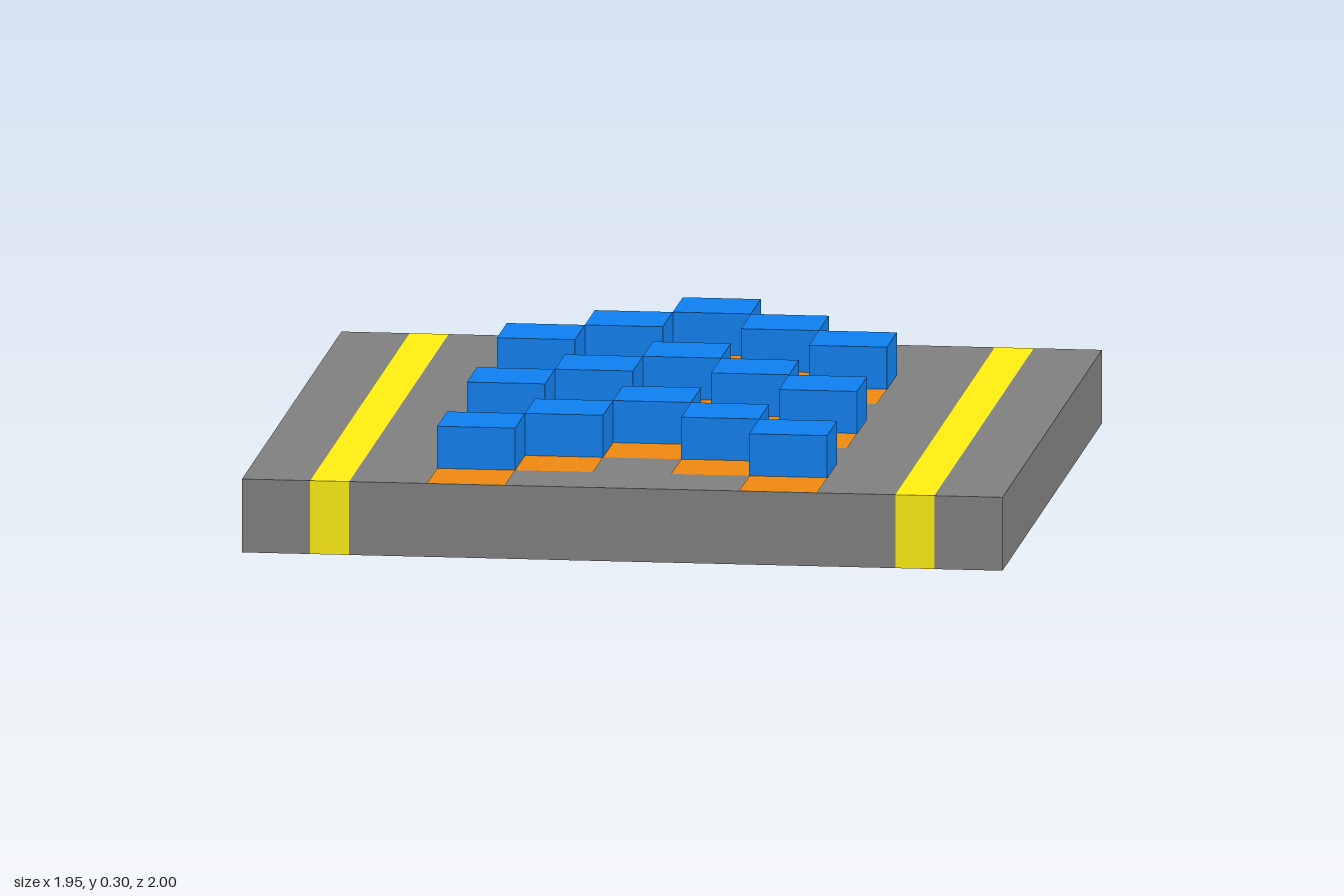
import * as THREE from 'three';

const SLAB_TOP = 0.19;
const CELL = 0.2;

const paint = (color) => new THREE.MeshStandardMaterial({ color, flatShading: true });
const grey = paint(0x808080);
const yellow = paint(0xffee10);
const blue = paint(0x0f80f0);
const orange = paint(0xee8810);

// Box spanning x0..x1, y0..y1, z0..z1
function block(name, material, [x0, x1], [y0, y1], [z0, z1]) {
  const mesh = new THREE.Mesh(new THREE.BoxGeometry(x1 - x0, y1 - y0, z1 - z0), material);
  mesh.position.set((x0 + x1) / 2, (y0 + y1) / 2, (z0 + z1) / 2);
  mesh.name = name;
  return mesh;
}

// Raised square block with a flush square marking just in front of it
function addStep(group, x, z) {
  const h = CELL / 2;
  group.add(block('raisedBlock', blue, [x - h, x + h], [SLAB_TOP, 0.3], [z - h, z + h]));
  const mark = new THREE.Mesh(new THREE.PlaneGeometry(CELL, CELL).rotateX(-Math.PI / 2), orange);
  mark.position.set(x, SLAB_TOP + 0.001, z + CELL);
  mark.name = 'floorMarking';
  group.add(mark);
}

export function createModel() {
  const model = new THREE.Group();
  model.name = 'boostPad';

  // Slab in lengthwise strips, the yellow stripes running right through it
  const height = [0, SLAB_TOP];
  const depth = [-1, 1];
  model.add(block('slabCentre', grey, [-0.7, 0.7], height, depth));
  for (const s of [-1, 1]) {
    const span = (a, b) => (s > 0 ? [a, b] : [-b, -a]);
    model.add(block('stripe', yellow, span(0.7, 0.8), height, depth));
    model.add(block('slabEdge', grey, span(0.8, 0.975), height, depth));
  }

  // Three stepped chevrons pointing to the back
  for (let c = 0; c < 3; c++) {
    const chevron = new THREE.Group();
    chevron.name = 'chevron';
    for (let i = -2; i <= 2; i++) {
      addStep(chevron, i * CELL, -0.9 + 0.6 * c + Math.abs(i) * CELL);
    }
    model.add(chevron);
  }
  return model;
}
